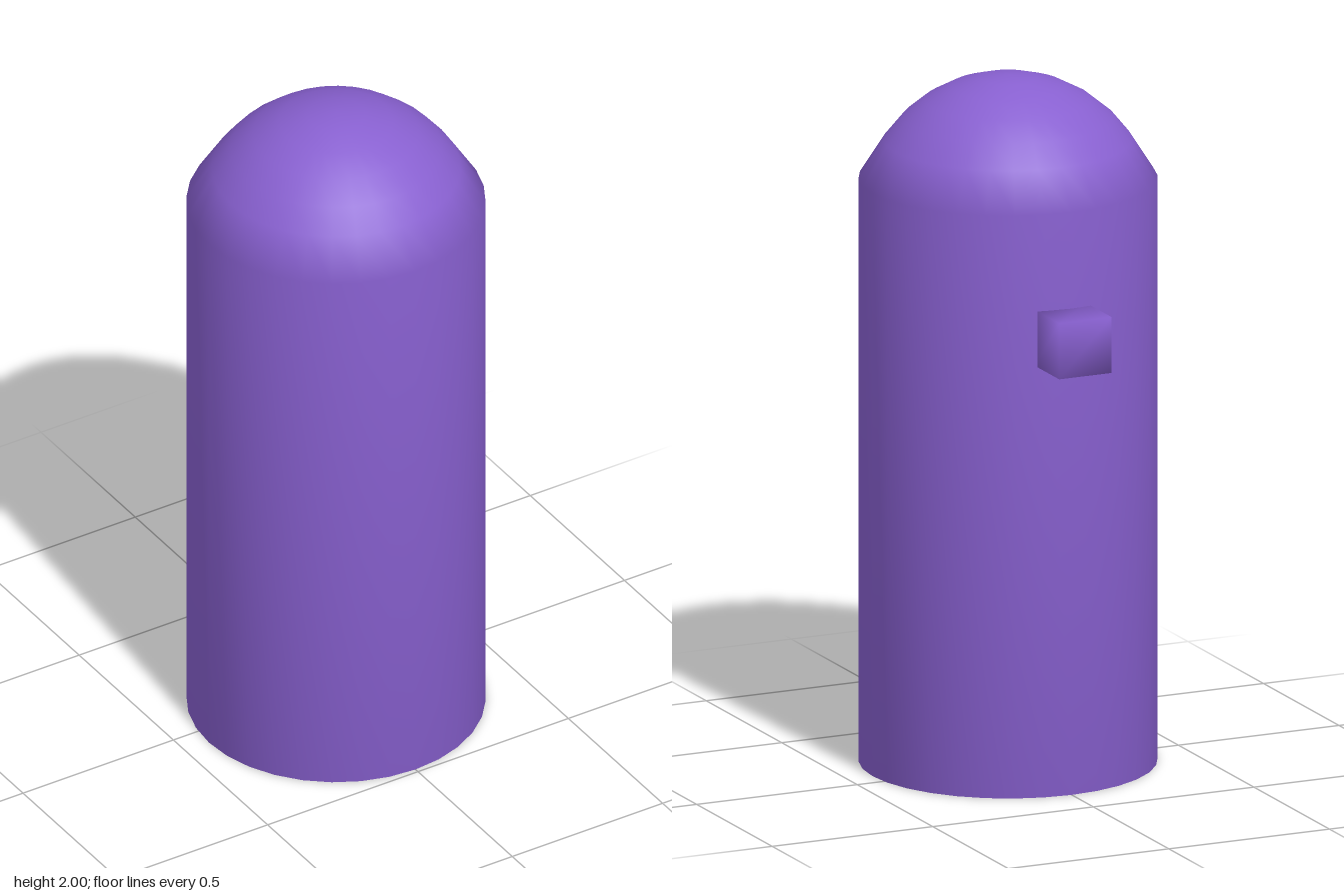
import * as THREE from 'three';
import { mergeVertices } from 'three/addons/utils/BufferGeometryUtils.js';

// Share corner vertices so that the shading flows across edges
function smooth(geometry) {
  geometry.deleteAttribute('normal');
  geometry.deleteAttribute('uv');
  const merged = mergeVertices(geometry, 1e-4);
  merged.computeVertexNormals();
  return merged;
}

export function createModel() {
  const group = new THREE.Group();
  const material = new THREE.MeshStandardMaterial({ color: 0x8860d0 });
  const radius = 0.422;
  const height = 2;

  // Body: closed base, straight wall, chamfer up into a round dome
  const profile = [
    new THREE.Vector2(0, 0),
    new THREE.Vector2(radius, 0),
    new THREE.Vector2(radius, 1.7),
  ];
  for (let i = 5; i >= 0; i--) {
    const a = (i * Math.PI) / 16;
    profile.push(new THREE.Vector2(radius * Math.sin(a), height - radius * (1 - Math.cos(a))));
  }
  const body = new THREE.Mesh(smooth(new THREE.LatheGeometry(profile, 32)), material);
  body.name = 'body';
  body.position.z = 0.065;
  group.add(body);

  // Small cube-shaped peg set into the back wall
  const size = 0.163;
  const peg = new THREE.Mesh(smooth(new THREE.BoxGeometry(size, size, size)), material);
  peg.name = 'backPeg';
  peg.position.set(0.019, 1.338, -0.488 + size / 2);
  group.add(peg);

  return group;
}
